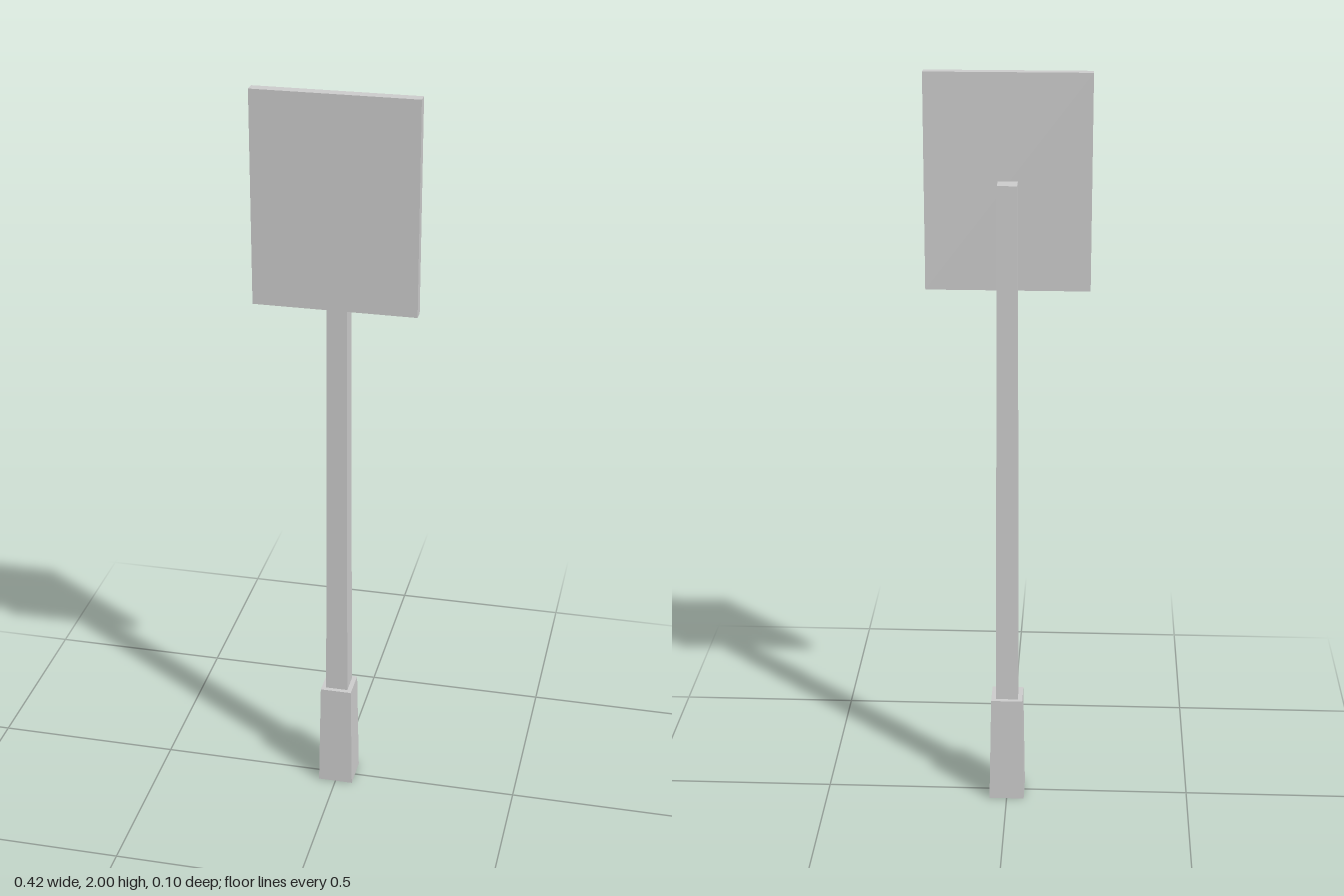
import * as THREE from 'three';

const material = new THREE.MeshStandardMaterial({ color: 0xcccccc, flatShading: true });

// Square tapered column standing between two heights
function taperedColumn(name, halfTop, halfBottom, y0, y1, z) {
  const geometry = new THREE.CylinderGeometry(halfTop * Math.SQRT2, halfBottom * Math.SQRT2, y1 - y0, 4);
  geometry.rotateY(Math.PI / 4);
  const mesh = new THREE.Mesh(geometry, material);
  mesh.name = name;
  mesh.position.set(0, (y0 + y1) / 2, z);
  return mesh;
}

export function createModel() {
  const model = new THREE.Group();
  model.name = 'signpost';
  const postZ = -0.0045;

  // Foot and post
  model.add(taperedColumn('foot', 0.0425, 0.0475, 0, 0.3, postZ));
  model.add(taperedColumn('post', 0.0253, 0.03, 0.3, 1.727, postZ));

  // Flat panel fixed to the front of the post
  const panel = new THREE.Mesh(new THREE.BoxGeometry(0.423, 0.556, 0.029), material);
  panel.name = 'signPanel';
  panel.position.set(0, 1.722, 0.0355);
  model.add(panel);

  return model;
}
